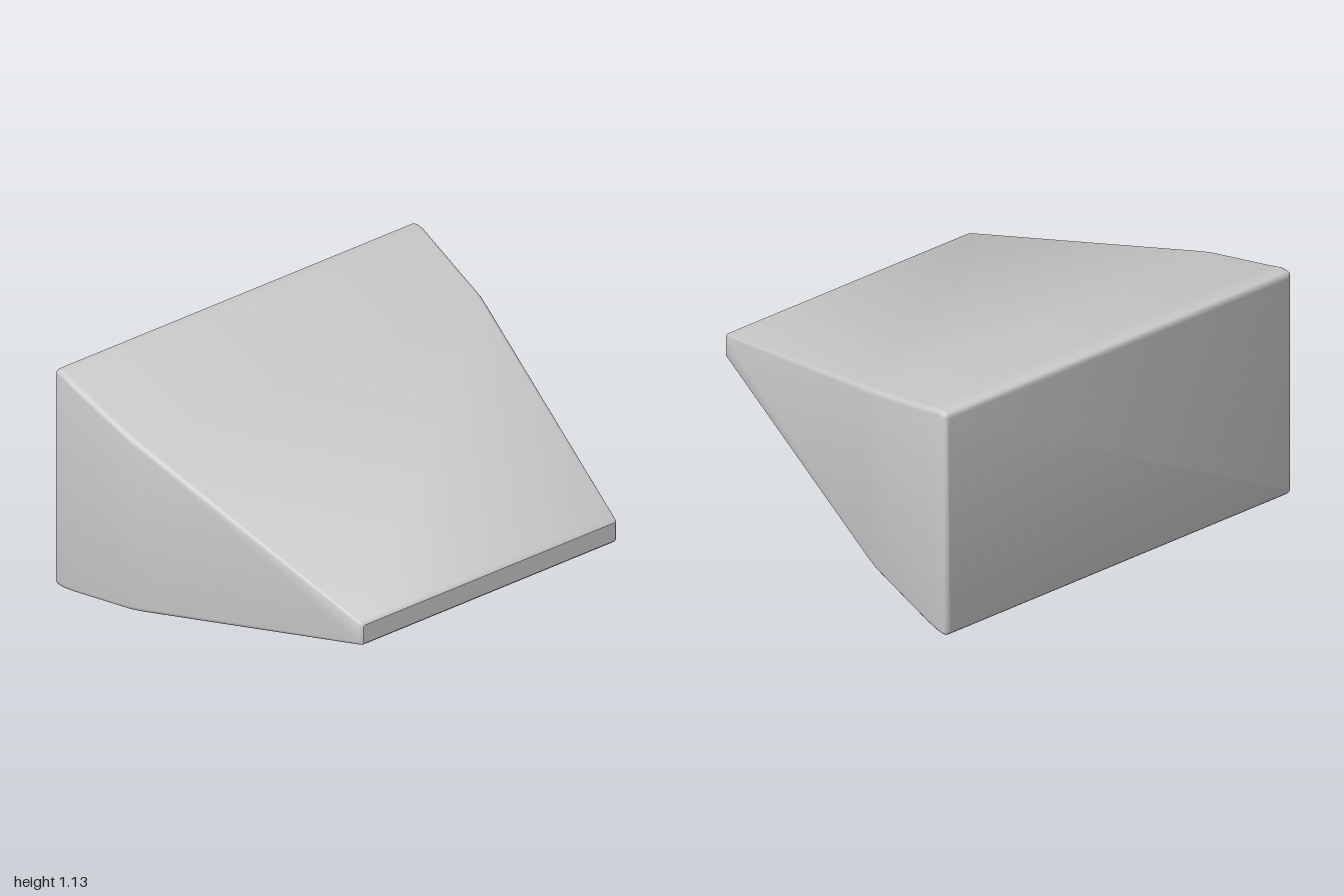
import * as THREE from 'three';
import { toCreasedNormals } from 'three/addons/utils/BufferGeometryUtils.js';

const ARC = 4; // segments per rounded corner

// Rounded rectangle around the z axis, counter-clockwise seen from the front
function ring([z, halfWidth, bottom, top, radius]) {
  const points = [];
  const corners = [[1, top - radius], [-1, top - radius], [-1, bottom + radius], [1, bottom + radius]];
  corners.forEach(([side, y], k) => {
    for (let i = 0; i <= ARC; i++) {
      const a = (k + i / ARC) * Math.PI / 2;
      points.push([side * (halfWidth - radius) + radius * Math.cos(a), y + radius * Math.sin(a), z]);
    }
  });
  return points;
}

// Skin the rings from back to front and close both ends
function loft(sections) {
  const rings = sections.map(ring);
  const n = rings[0].length;
  const index = [];
  for (let j = 0; j < rings.length - 1; j++) {
    for (let i = 0; i < n; i++) {
      const a = j * n + i, b = j * n + (i + 1) % n;
      index.push(a, b, b + n, a, b + n, a + n);
    }
  }
  const last = (rings.length - 1) * n;
  for (let i = 1; i < n - 1; i++) {
    index.push(0, i + 1, i, last, last + i, last + i + 1);
  }
  const geometry = new THREE.BufferGeometry();
  geometry.setAttribute('position', new THREE.Float32BufferAttribute(rings.flat(2), 3));
  geometry.setIndex(index);
  return toCreasedNormals(geometry, 0.6);
}

export function createModel() {
  const group = new THREE.Group();
  group.name = 'wedgeBlock';

  // z, half width, bottom, top, corner radius
  const sections = [
    // rounded back rim
    [-0.93, 0.978, 0.022, 1.108, 0.01],
    [-0.927, 0.989, 0.011, 1.119, 0.016],
    [-0.919, 0.997, 0.003, 1.127, 0.022],
    [-0.908, 1, 0, 1.13, 0.025],
    // gently curving shoulder
    [-0.87, 1, 0.003, 1.13, 0.025],
    [-0.8, 0.998, 0.018, 1.13 - 0.07 * 0.29, 0.025],
    [-0.42, 0.975, 0.112, 1.019, 0.025],
    [-0.35, 0.962, 0.13, 1, 0.025],
    // straight taper to the rounded nose
    [0.91, 0.712, 0.507, 0.632, 0.02],
    [0.922, 0.707, 0.512, 0.627, 0.016],
    [0.93, 0.697, 0.522, 0.617, 0.01],
  ];

  const body = new THREE.Mesh(loft(sections), new THREE.MeshStandardMaterial({ color: 0xcccccc }));
  body.name = 'wedgeBody';
  group.add(body);
  return group;
}
